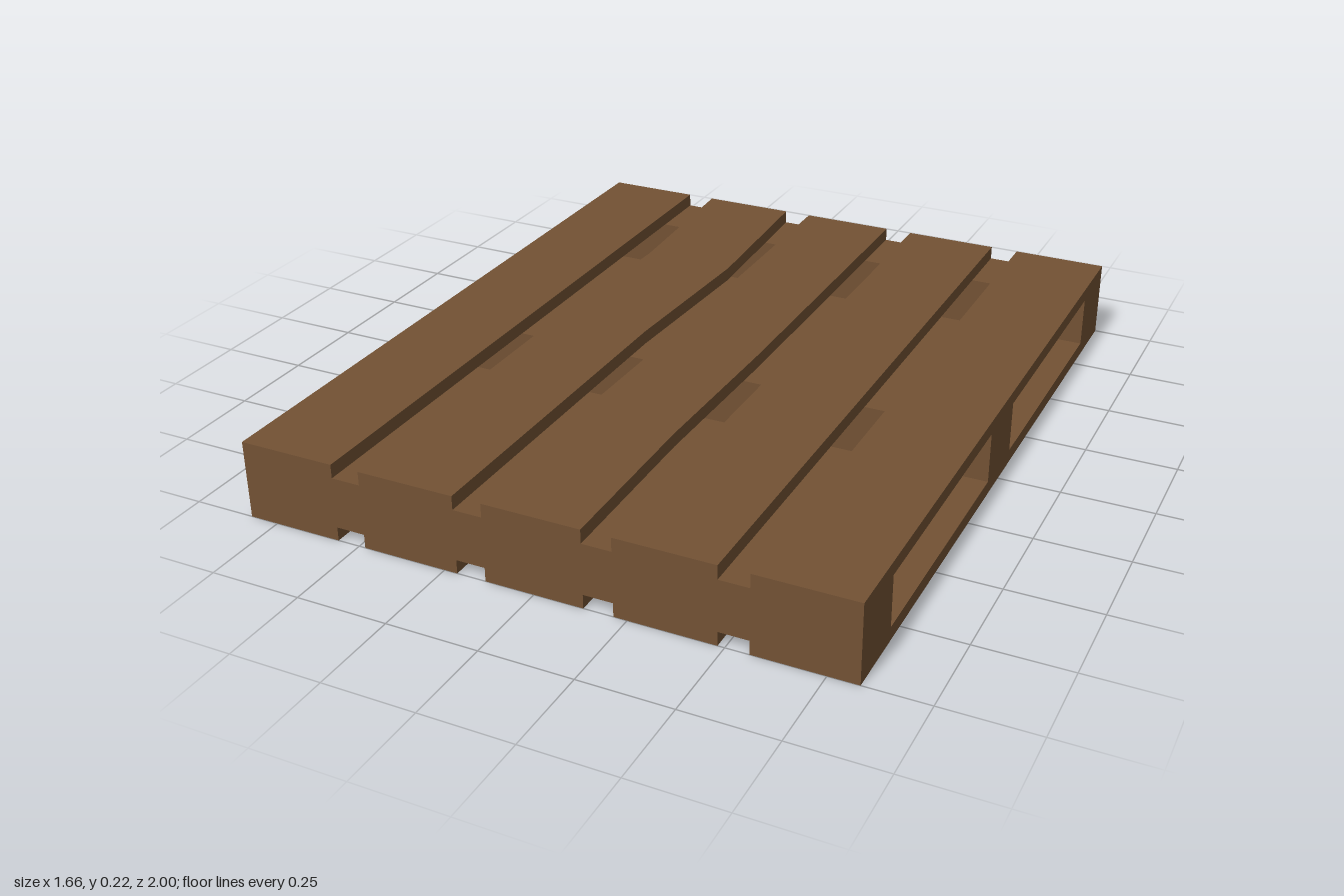
import * as THREE from 'three';

export function createModel() {
  const model = new THREE.Group();
  model.name = 'pallet';
  const wood = new THREE.MeshStandardMaterial({ color: 0x735234 });
  wood.name = 'brown wood';

  const BOARD_W = 0.268, BOARD_T = 0.038, PITCH = 0.348;
  const HEIGHT = 0.217, LENGTH = 2, WIDTH = 1.66;

  function addBoard(name, x, y, bend) {
    let g = new THREE.BoxGeometry(BOARD_W, BOARD_T, LENGTH, 1, 1, 4);
    if (bend) {
      // Shift the cross-section at one z station so the board is warped
      const p = g.attributes.position;
      for (let i = 0; i < p.count; i++) {
        if (Math.abs(p.getZ(i) - bend.z) < 0.01) p.setX(i, p.getX(i) + bend.dx);
      }
      g = g.toNonIndexed();
      g.computeVertexNormals();
    }
    const mesh = new THREE.Mesh(g, wood);
    mesh.name = name;
    mesh.position.set(x, y, 0);
    model.add(mesh);
  }

  // Five deck boards above and five straight boards below; two deck boards are warped
  const bends = { 1: { z: -0.5, dx: 0.024 }, 2: { z: 0.5, dx: -0.009 } };
  for (let i = 0; i < 5; i++) {
    const x = (i - 2) * PITCH;
    addBoard('topBoard' + (i + 1), x, HEIGHT - BOARD_T / 2, bends[i]);
    addBoard('bottomBoard' + (i + 1), x, BOARD_T / 2);
  }

  // Three cross beams between the decks
  const beamH = HEIGHT - 2 * BOARD_T, beamD = 0.186;
  ['backBeam', 'middleBeam', 'frontBeam'].forEach((name, i) => {
    const beam = new THREE.Mesh(new THREE.BoxGeometry(WIDTH, beamH, beamD), wood);
    beam.name = name;
    beam.position.set(0, HEIGHT / 2, (i - 1) * (LENGTH - beamD) / 2);
    model.add(beam);
  });

  return model;
}
